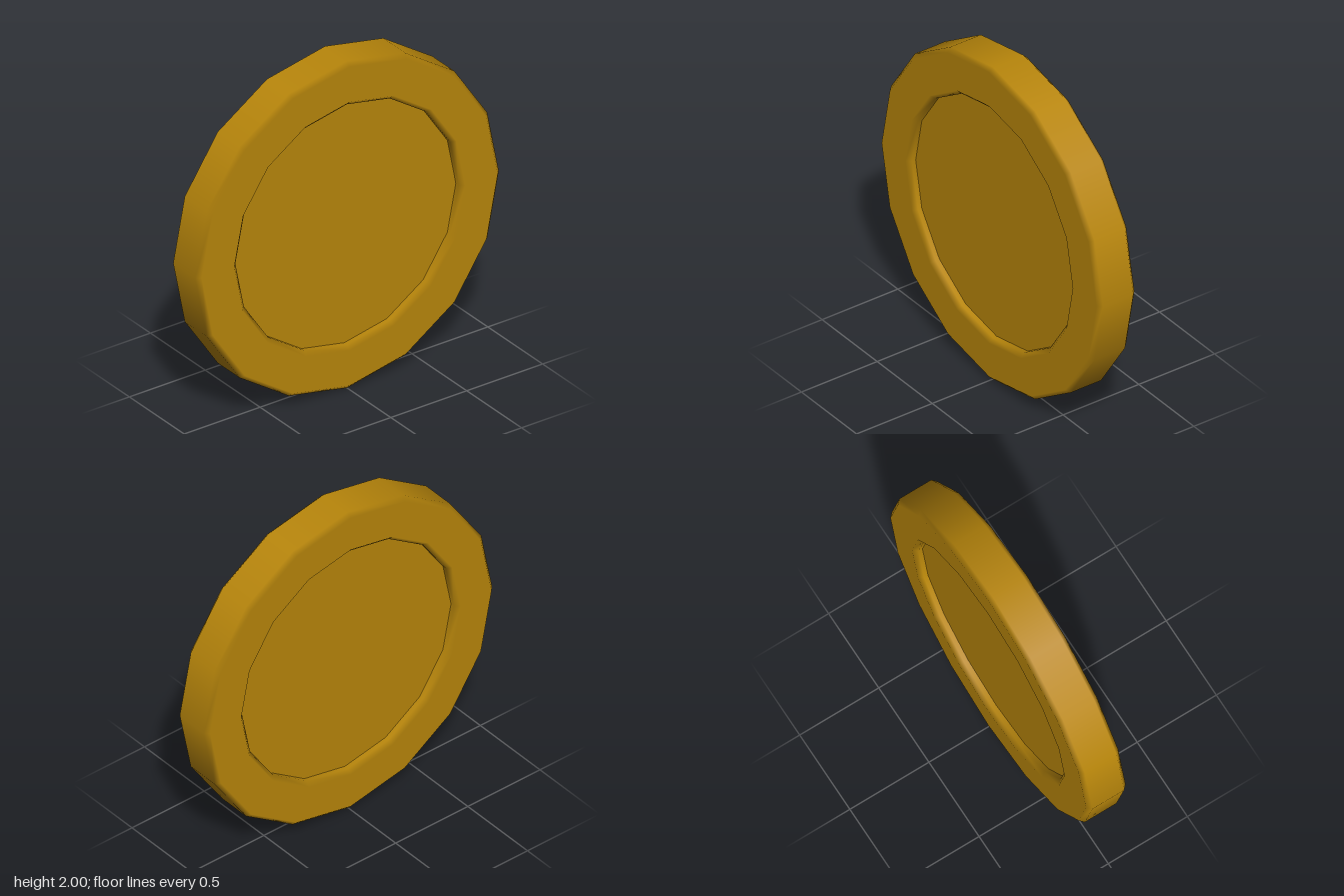
import * as THREE from 'three';

const SIDES = 16;
const RECESS_RADIUS = 0.735, RECESS_Z = 0.075;

// Half of the rim section, from recess floor to outer wall: [radius, z, radial normal, axial normal]
const HALF_RIM = [
  [RECESS_RADIUS, RECESS_Z, -1, 0],
  [RECESS_RADIUS, 0.1, -1, 0],
  [0.76, 0.125, 0, 1],
  [0.975, 0.125, 0, 1],
  [1, 0.1, 1, 0],
];

// Rim: lathed ring with flat faces and softly shaded bevels
function rimGeometry() {
  const section = [
    ...HALF_RIM.map(([r, z, nr, nz]) => [r, -z, nr, -nz]),
    ...[...HALF_RIM].reverse(),
  ];
  const geometry = new THREE.LatheGeometry(section.map(([r, z]) => new THREE.Vector2(r, z)), SIDES);
  const normal = geometry.attributes.normal;
  for (let i = 0; i < normal.count; i++) {
    const [, , nr, nz] = section[i % section.length];
    const angle = Math.floor(i / section.length) / SIDES * Math.PI * 2;
    normal.setXYZ(i, nr * Math.sin(angle), nz, nr * Math.cos(angle));
  }
  return geometry.rotateX(Math.PI / 2);
}

export function createModel() {
  const coin = new THREE.Group();
  coin.name = 'coin';
  const gold = new THREE.MeshStandardMaterial({ color: 0xb8860b });

  const rim = new THREE.Mesh(rimGeometry(), gold);
  rim.name = 'rim';
  rim.position.y = 1;
  coin.add(rim);

  // Recessed faces on both sides
  for (const side of [1, -1]) {
    const face = new THREE.Mesh(new THREE.CircleGeometry(RECESS_RADIUS, SIDES), gold);
    face.name = side > 0 ? 'frontFace' : 'backFace';
    face.position.set(0, 1, side * RECESS_Z);
    if (side < 0) face.rotation.y = Math.PI;
    coin.add(face);
  }
  return coin;
}
